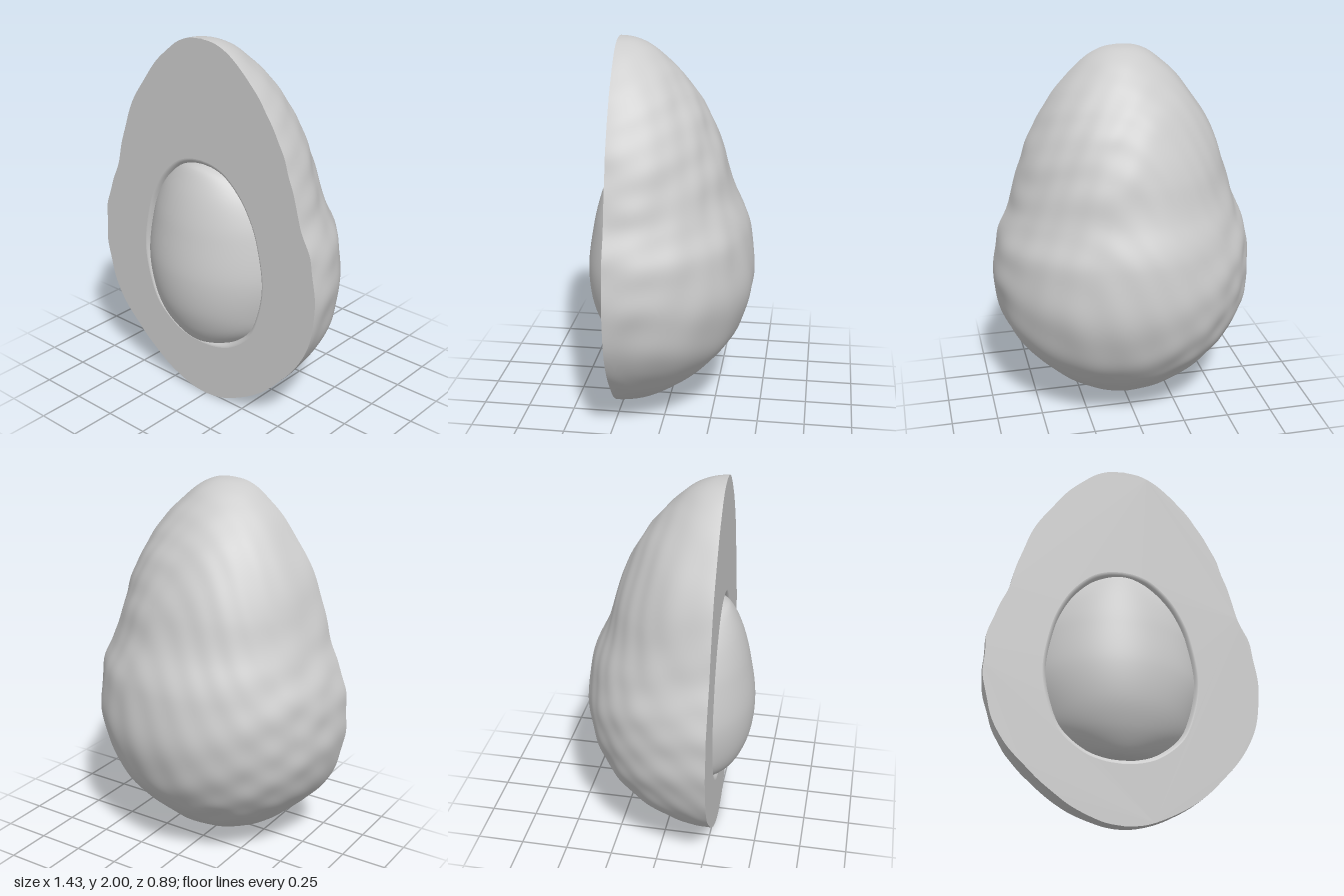
import * as THREE from 'three';
import { mergeVertices } from 'three/addons/utils/BufferGeometryUtils.js';

const TILT = 0.035, FACE_Z = 0.265;
const SEED_X = -0.015, SEED_Y = 0.8, GROOVE = 0.02;

// Smooth surface sampled from point(u, v); its front is du x dv
function surface(nu, nv, point) {
  const pos = [], index = [];
  for (let i = 0; i <= nu; i++)
    for (let j = 0; j <= nv; j++) pos.push(...point(i / nu, j / nv));
  for (let i = 0; i < nu; i++)
    for (let j = 0; j < nv; j++) {
      const a = i * (nv + 1) + j, b = a + nv + 1;
      index.push(a, b, b + 1, a, b + 1, a + 1);
    }
  let geo = new THREE.BufferGeometry();
  geo.setAttribute('position', new THREE.Float32BufferAttribute(pos, 3));
  geo.setIndex(index);
  geo = mergeVertices(geo, 1e-5);
  geo.computeVertexNormals();
  return geo;
}

const curve = (pts) => new THREE.CatmullRomCurve3(pts.map(([x, y, z = 0]) => new THREE.Vector3(x, y, z)), false, 'centripetal');

// Radius and height of the fruit
const fruit = curve([
  [0, 0], [0.09, 0.01], [0.18, 0.04], [0.32, 0.115], [0.48, 0.25], [0.61, 0.405], [0.685, 0.58],
  [0.712, 0.77], [0.685, 1.0], [0.607, 1.2], [0.55, 1.4], [0.467, 1.6], [0.4, 1.71],
  [0.315, 1.82], [0.24, 1.895], [0.165, 1.955], [0.085, 1.99], [0, 2],
]);

// Half-width, height and bulge of the seed above the cut
const pit = curve([
  [0, 0.335, 0], [0.08, 0.342, 0.025], [0.18, 0.375, 0.065], [0.3, 0.475, 0.125], [0.355, 0.6, 0.165],
  [0.385, 0.78, 0.178], [0.35, 1.0, 0.147], [0.315, 1.1, 0.125], [0.25, 1.21, 0.09],
  [0.15, 1.305, 0.045], [0.07, 1.337, 0.018], [0, 1.345, 0],
]);

// Gentle lumps of the skin, fading out toward both ends
function lumps(x, y, z) {
  const warp = Math.sin(4 * x + 3 * y) + Math.sin(5 * z - 2 * y);
  return 0.0035 * Math.sin(17 * x + 6 * y + 2 * warp) * Math.sin(15 * z + 5 * y)
    + 0.0025 * Math.sin(31 * z + 13 * y + 3 * warp) * Math.sin(29 * x - 9 * y)
    + 0.0025 * Math.sin(23 * y + 8 * x + 2 * warp);
}

function skinPoint(u, v) {
  const p = fruit.getPointAt(u), a = Math.PI * (1 - v);
  const c = Math.cos(a), s = Math.sin(a);
  const r = p.x + lumps(p.x * c, p.y, -p.x * s) * Math.min(1, p.x / 0.4);
  return [r * c, p.y, -r * s];
}

// Each level of the seed is a circular arc rising out of the groove
function seedPoint(u, v) {
  const p = pit.getPointAt(u);
  const w = Math.max(p.x, 1e-5);
  const h = Math.max(p.z, 0) + GROOVE * Math.min(1, w / 0.1);
  const R = (w * w + h * h) / (2 * h), a = 2 * Math.atan(h / w) * (1 - 2 * v);
  return [SEED_X + R * Math.sin(a), p.y, R * Math.cos(a) - R + h - GROOVE];
}

// Counter-clockwise outline of the seed, 0 <= t <= 1
function seedOutline(t) {
  const p = pit.getPointAt(t < 0.5 ? 2 * t : 2 - 2 * t);
  return [SEED_X + (t < 0.5 ? p.x : -p.x), p.y];
}

// Rounded lip from the flat cut down to the seed
function groovePoint(u, v) {
  const [x, y] = seedOutline(u), k = 1 + 0.05 * (1 - v);
  return [SEED_X + (x - SEED_X) * k, SEED_Y + (y - SEED_Y) * k, -GROOVE * v * v];
}

export function createModel() {
  const model = new THREE.Group();
  model.name = 'halvedFruit';
  const half = new THREE.Group();
  half.name = 'fruitHalf';
  half.position.z = FACE_Z;
  half.rotation.y = TILT;
  model.add(half);

  const material = new THREE.MeshStandardMaterial({ color: 0xcccccc });
  const add = (name, geometry) => {
    const mesh = new THREE.Mesh(geometry, material);
    mesh.name = name;
    half.add(mesh);
  };

  // Rounded back
  const N = 160;
  add('skin', surface(N, 128, skinPoint));

  // Flat cut, bounded by the skin and open around the seed
  const outline = [];
  for (let i = 0; i <= N; i++) outline.push(skinPoint(i / N, 1));
  for (let i = N - 1; i > 0; i--) outline.push(skinPoint(i / N, 0));
  const cut = new THREE.Shape(outline.map(([x, y]) => new THREE.Vector2(x, y)));
  const hole = [];
  for (let i = 0; i < N; i++) {
    const [x, y] = groovePoint(i / N, 0);
    hole.push(new THREE.Vector2(x, y));
  }
  cut.holes.push(new THREE.Path(hole));
  add('cutFace', new THREE.ShapeGeometry(cut));

  add('seedGroove', surface(N, 5, groovePoint));
  add('seed', surface(80, 64, seedPoint));

  return model;
}
